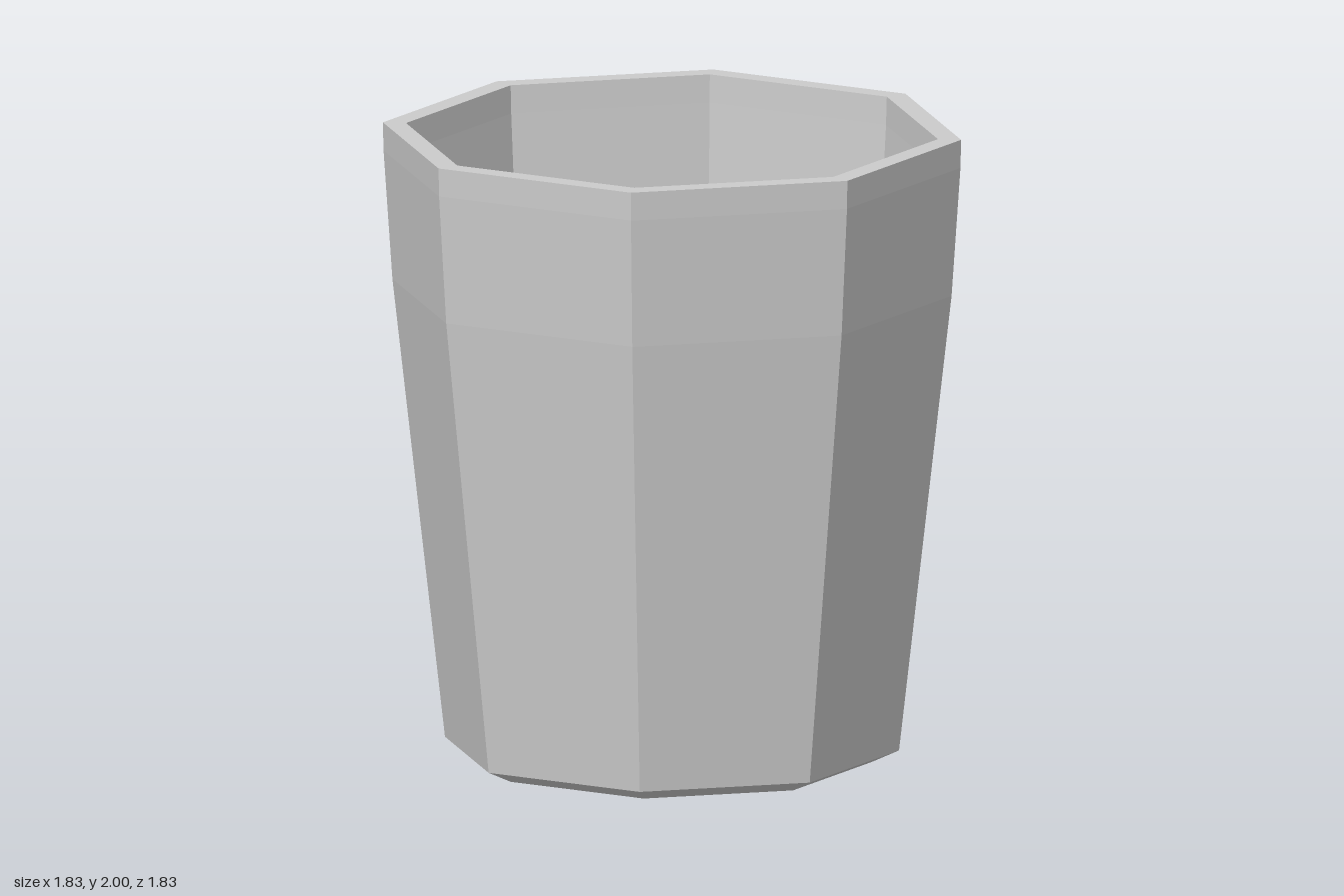
import * as THREE from 'three';

export function createModel() {
  const group = new THREE.Group();
  const material = new THREE.MeshStandardMaterial({ color: 0xcccccc, flatShading: true });

  // Closed cross-section: underside, outer wall, rim, inner wall, inner floor
  const profile = [
    [0, 0], [0.63, 0], [0.717, 0.04], [0.883, 1.5], [0.911, 1.91], [0.913, 2],
    [0.84, 2], [0.837, 1.91], [0.812, 1.5], [0.675, 0.08], [0.635, 0.062], [0, 0.062],
  ].map(([r, y]) => new THREE.Vector2(r, y));

  // Eight-sided tumbler with corners on the axes
  const cup = new THREE.Mesh(new THREE.LatheGeometry(profile, 8), material);
  cup.name = 'cup';
  group.add(cup);
  return group;
}
